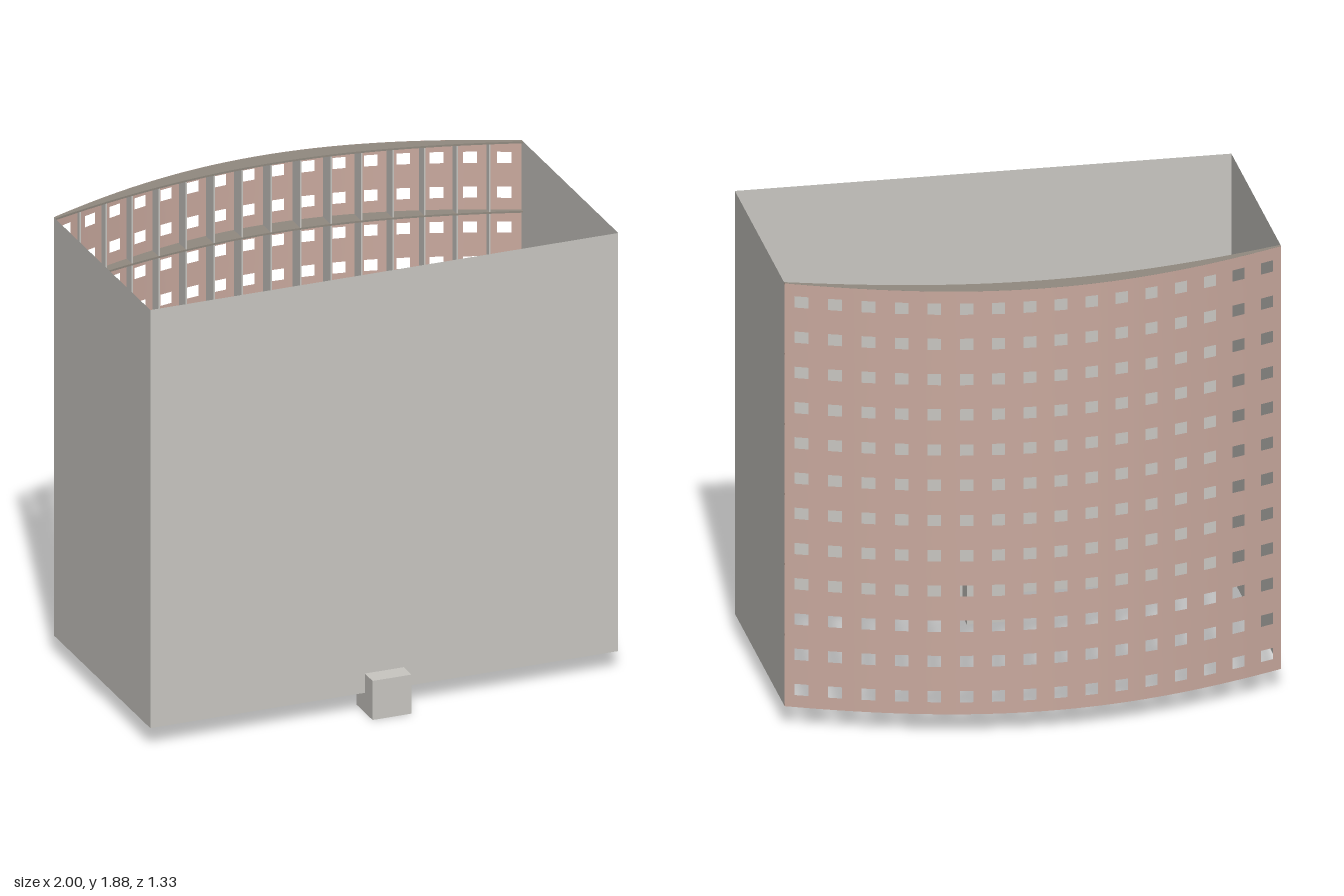
import * as THREE from 'three';

const Y0 = 0.085, Y1 = 1.885, COLS = 16, ROWS = 12;
const PITCH_X = 2 / COLS, PITCH_Y = (Y1 - Y0) / ROWS;
const WIN_W = 0.052, WIN_H = 0.048;

// Plan curves: the bowed facade and the shallower inner edge of its frame
const bow = (x) => 1.1 * x * x - 0.1 * x ** 4;
const outerZ = (x) => -0.665 + 0.253 * bow(x);
const innerZ = (x) => -0.58 + 0.182 * bow(x);

function material(name, color) {
  const m = new THREE.MeshStandardMaterial({ color, side: THREE.DoubleSide });
  m.name = name;
  return m;
}

// Cut lines of a row of cells, each with a centred opening
function cuts(start, pitch, count, opening) {
  const list = [start];
  for (let i = 0; i < count; i++) {
    const mid = start + (i + 0.5) * pitch;
    list.push(mid - opening / 2, mid + opening / 2, start + (i + 1) * pitch);
  }
  return list;
}

// Curved sheet pierced by a grid of windows
function facadeGeometry() {
  const xs = cuts(-1, PITCH_X, COLS, WIN_W);
  const ys = cuts(Y0, PITCH_Y, ROWS, WIN_H);
  const pos = [], index = [];
  for (const y of ys) for (const x of xs) pos.push(x, y, outerZ(x));
  for (let j = 0; j < ys.length - 1; j++) {
    for (let i = 0; i < xs.length - 1; i++) {
      if (i % 3 === 1 && j % 3 === 1) continue; // window opening
      const a = j * xs.length + i, b = a + 1, d = a + xs.length, c = d + 1;
      index.push(a, d, c, a, c, b);
    }
  }
  const g = new THREE.BufferGeometry();
  g.setAttribute('position', new THREE.Float32BufferAttribute(pos, 3));
  g.setIndex(index);
  g.computeVertexNormals();
  return g;
}

// Thin crescent floor between the two plan curves
function slabGeometry(thickness) {
  const pts = [], n = 48;
  for (let i = 0; i <= n; i++) {
    const x = -1 + (2 * i) / n;
    pts.push(new THREE.Vector2(x, -innerZ(x)));
  }
  for (let i = n; i >= 0; i--) {
    const x = -1 + (2 * i) / n;
    pts.push(new THREE.Vector2(x, -outerZ(x) - 0.001));
  }
  const g = new THREE.ExtrudeGeometry(new THREE.Shape(pts), { depth: thickness, bevelEnabled: false });
  return g.rotateX(-Math.PI / 2);
}

export function createModel() {
  const model = new THREE.Group();
  model.name = 'curvedFacadeBlock';
  const grey = material('wall grey', 0xc8c6c1);
  const brown = material('slab taupe', 0x918a80);
  const pink = material('facade pink', 0xc9a99e);

  const add = (name, geometry, mat, x = 0, y = 0, z = 0, parent = model) => {
    const mesh = new THREE.Mesh(geometry, mat);
    mesh.name = name;
    mesh.position.set(x, y, z);
    parent.add(mesh);
    return mesh;
  };

  // Plain walls, open at top and bottom
  const midY = (Y0 + Y1) / 2, height = Y1 - Y0;
  const frontZ = 0.585, backZ = outerZ(1);
  add('frontWall', new THREE.PlaneGeometry(2, height), grey, 0, midY, frontZ);
  for (const side of [-1, 1]) {
    const wall = add(side > 0 ? 'leftWall' : 'rightWall',
      new THREE.PlaneGeometry(frontZ - backZ, height), grey, side, midY, (frontZ + backZ) / 2);
    wall.rotation.y = side * Math.PI / 2;
  }

  // Small cube at the foot of the front wall
  add('entranceBlock', new THREE.BoxGeometry(0.166, 0.168, 0.166), grey, 0, 0.084, 0.582);

  // Windowed rear facade
  add('facade', facadeGeometry(), pink);

  // Floor slabs at every second window row
  const slabs = new THREE.Group();
  slabs.name = 'floorSlabs';
  model.add(slabs);
  const thick = 0.008, slab = slabGeometry(thick);
  const levels = ROWS / 2;
  for (let i = 0; i <= levels; i++) {
    add('floorSlab', slab, brown, 0, Y0 + (i / levels) * (height - thick), 0, slabs);
  }

  // Upright fins between the window columns
  const fins = new THREE.Group();
  fins.name = 'verticalFins';
  model.add(fins);
  for (let i = 1; i < COLS; i++) {
    const x = -1 + i * PITCH_X;
    const z0 = outerZ(x) + 0.003, z1 = innerZ(x) - 0.001;
    add('fin', new THREE.BoxGeometry(0.006, height - 2 * thick, z1 - z0), grey, x, midY, (z0 + z1) / 2, fins);
  }
  return model;
}
